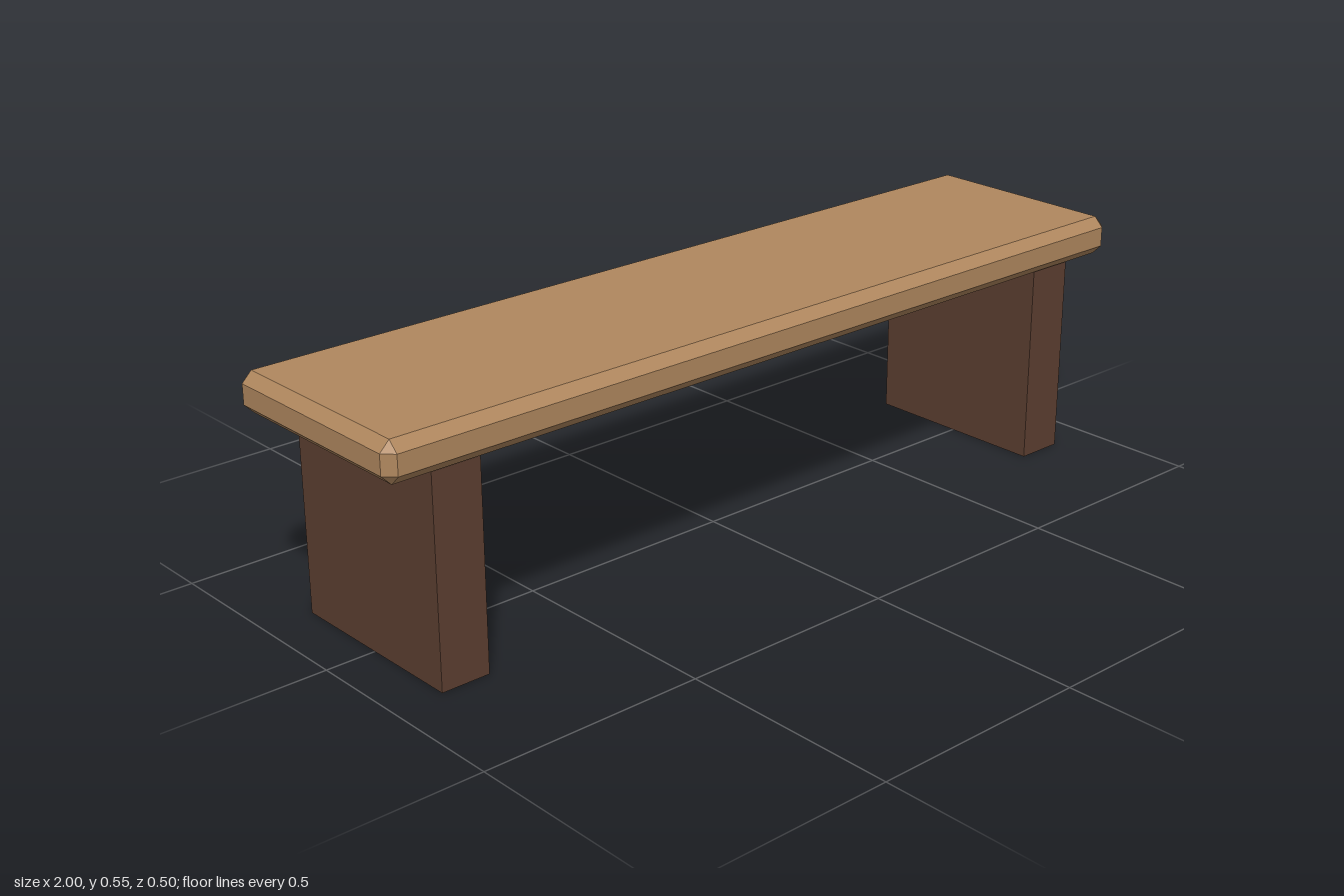
import * as THREE from 'three';
import { ConvexGeometry } from 'three/addons/geometries/ConvexGeometry.js';

const seatWood = new THREE.MeshStandardMaterial({ color: 0xb0875e });
seatWood.name = 'light wood';
const legWood = new THREE.MeshStandardMaterial({ color: 0x5c3f31 });
legWood.name = 'dark wood';

// Box with every edge and corner chamfered by c
function chamferedBox(width, height, depth, c) {
  const half = [width / 2, height / 2, depth / 2];
  const points = [];
  for (const sx of [-1, 1]) for (const sy of [-1, 1]) for (const sz of [-1, 1]) {
    for (let axis = 0; axis < 3; axis++) {
      const p = half.map((h, i) => (i === axis ? h : h - c));
      points.push(new THREE.Vector3(sx * p[0], sy * p[1], sz * p[2]));
    }
  }
  return new ConvexGeometry(points);
}

export function createModel() {
  const bench = new THREE.Group();
  bench.name = 'bench';

  // Seat plank
  const bottom = 0.457, thickness = 0.088;
  const seat = new THREE.Mesh(chamferedBox(2, thickness, 0.5, 0.022), seatWood);
  seat.name = 'seat';
  seat.position.y = bottom + thickness / 2;
  bench.add(seat);

  // Slab legs, mirrored left and right
  const legGeometry = new THREE.BoxGeometry(0.111, bottom, 0.444);
  for (const side of [-1, 1]) {
    const leg = new THREE.Mesh(legGeometry, legWood);
    leg.name = side > 0 ? 'leftLeg' : 'rightLeg';
    leg.position.set(side * 0.833, bottom / 2, 0);
    bench.add(leg);
  }
  return bench;
}
